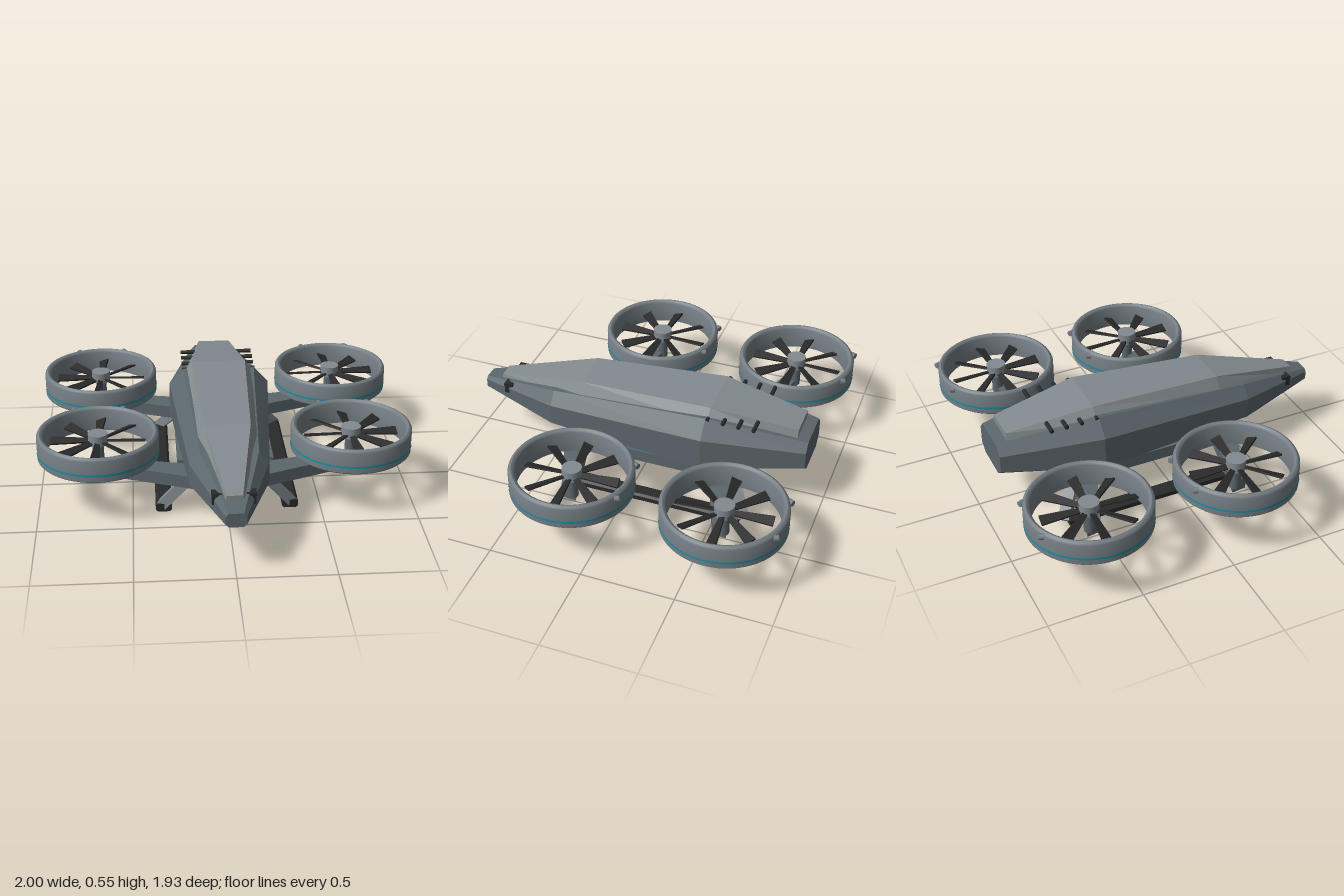
import * as THREE from 'three';
import { toCreasedNormals } from 'three/addons/utils/BufferGeometryUtils.js';

const mat = (name, color) => {
  const m = new THREE.MeshStandardMaterial({ color });
  m.name = name;
  return m;
};

export function createModel() {
  const model = new THREE.Group();
  model.name = 'quadRotorDrone';
  const hull = mat('slate hull', 0x5b676c);
  const panel = mat('light panel', 0x838b90);
  const ringGrey = mat('ring grey', 0x737d83);
  const dark = mat('black trim', 0x2a2a2b);
  const teal = mat('teal', 0x1b8fa6);

  const add = (name, geo, material, parent = model, x = 0, y = 0, z = 0) => {
    const m = new THREE.Mesh(geo, material);
    m.name = name;
    m.position.set(x, y, z);
    parent.add(m);
    return m;
  };

  // faceted solid through cross-sections ordered along +z, each counter-clockwise
  const loft = (sections) => {
    const n = sections[0].length, pos = [], idx = [];
    sections.forEach((s) => s.forEach((p) => pos.push(...p)));
    for (let i = 0; i < sections.length - 1; i++) {
      for (let j = 0; j < n; j++) {
        const a = i * n + j, b = i * n + (j + 1) % n;
        idx.push(a, b, b + n, a, b + n, a + n);
      }
    }
    const last = (sections.length - 1) * n;
    for (let j = 1; j < n - 1; j++) idx.push(0, j + 1, j, last, last + j, last + j + 1);
    const g = new THREE.BufferGeometry();
    g.setAttribute('position', new THREE.Float32BufferAttribute(pos, 3));
    g.setIndex(idx);
    const flat = g.toNonIndexed();
    flat.computeVertexNormals();
    return flat;
  };

  // mirrored section from its right half, listed bottom to top as [x, y]
  const section = (z, half) => [
    ...half.map(([x, y]) => [x, y, z]),
    ...half.slice().reverse().map(([x, y]) => [-x, y, z]),
  ];

  // square bar between two points
  const beam = (name, a, b, w, d, material) => {
    const p = new THREE.Vector3(...a), q = new THREE.Vector3(...b);
    const m = add(name, new THREE.BoxGeometry(w, d, p.distanceTo(q)), material);
    m.position.copy(p).add(q).multiplyScalar(0.5);
    m.lookAt(q);
    return m;
  };

  // fuselage
  add('fuselage', loft([
    section(-0.91, [[0.1, 0.25], [0.15, 0.29], [0.15, 0.385], [0.11, 0.43]]),
    section(-0.38, [[0.2, 0.18], [0.28, 0.24], [0.28, 0.42], [0.2, 0.508]]),
    section(0.5, [[0.14, 0.195], [0.205, 0.25], [0.205, 0.365], [0.15, 0.43]]),
    section(0.96, [[0.035, 0.265], [0.052, 0.28], [0.052, 0.325], [0.038, 0.34]]),
  ]), hull);

  // raised upper shell
  add('upperShell', loft([
    section(-0.85, [[0.11, 0.41], [0.09, 0.48]]),
    section(-0.39, [[0.2, 0.48], [0.15, 0.547]]),
    section(0.345, [[0.165, 0.42], [0.12, 0.507]]),
    section(0.86, [[0.05, 0.34], [0.04, 0.382]]),
  ]), panel);

  // belly camera
  const cam = new THREE.Group();
  cam.name = 'bellyCamera';
  cam.position.set(0, 0, 0.113);
  model.add(cam);
  const housing = [[0.001, 0.2], [0.085, 0.2], [0.085, 0.128], [0.09, 0.122], [0.117, 0.122], [0.126, 0.131], [0.126, 0.2]];
  housing[0] = [0.085, 0.2];
  housing.splice(1, 1);
  add('cameraHousing', toCreasedNormals(new THREE.LatheGeometry(
    housing.map(([r, y]) => new THREE.Vector2(r, y)), 40), 0.6), panel, cam).material.side = THREE.DoubleSide;
  add('cameraLens', new THREE.CylinderGeometry(0.086, 0.086, 0.03, 40), teal, cam, 0, 0.15, 0);

  // rounded duct profile, running up the outside and down the inside
  const duct = [[0.288, 0.27], [0.316, 0.27], [0.323, 0.277], [0.323, 0.392], [0.318, 0.402], [0.306, 0.408],
    [0.294, 0.402], [0.288, 0.392], [0.288, 0.27]].map(([r, y]) => new THREE.Vector2(r, y));
  const ductGeo = toCreasedNormals(new THREE.LatheGeometry(duct, 64), 0.7);

  const rotor = (s, z) => {
    const g = new THREE.Group();
    g.name = 'rotor';
    g.position.set(s * 0.675, 0, z);
    model.add(g);
    add('ductRing', ductGeo, ringGrey, g);
    add('ductStripe', new THREE.CylinderGeometry(0.3255, 0.3255, 0.012, 64, 1, true), teal, g, 0, 0.312, 0);
    add('hub', new THREE.CylinderGeometry(0.052, 0.052, 0.06, 24), panel, g, 0, 0.365, 0);
    add('motorShaft', new THREE.CylinderGeometry(0.03, 0.03, 0.13, 16), hull, g, 0, 0.28, 0);
    // blades widen toward the tip
    for (let i = 0; i < 8; i++) {
      const b = new THREE.BoxGeometry(0.205, 0.01, 0.056);
      const p = b.attributes.position;
      for (let k = 0; k < p.count; k++) if (p.getX(k) < 0) p.setZ(k, p.getZ(k) * 0.5);
      b.rotateX(s * 0.35).translate(0.147, 0, 0);
      add('blade', b, dark, g, 0, 0.352, 0).rotation.y = i * Math.PI / 4 + s * 0.05;
    }
    // small rear studs
    for (const t of [-1, 1]) {
      const stud = add('ductStud', new THREE.CylinderGeometry(0.016, 0.016, 0.025, 12), ringGrey, g,
        t * 0.135, 0.387, -0.298);
      stud.rotation.set(Math.PI / 2, 0, -t * 0.42);
    }
  };

  // flat tapered arm from plan corners [x, z]
  const arm = (s, corners) => {
    const shape = new THREE.Shape(corners.map(([x, z]) => new THREE.Vector2(s * x, -z)));
    const g = new THREE.ExtrudeGeometry(shape, { depth: 0.07, bevelEnabled: false });
    add('rotorArm', g.rotateX(-Math.PI / 2), hull, model, 0, 0.178, 0);
  };

  for (const s of [-1, 1]) {
    rotor(s, -0.64);
    rotor(s, 0.17);
    arm(s, [[0.16, 0.28], [0.16, 0.43], [0.67, 0.235], [0.68, 0.155]]);
    arm(s, [[0.16, -0.55], [0.16, -0.39], [0.67, -0.58], [0.68, -0.655]]);

    // side rail under the hull edge
    add('sideRail', new THREE.BoxGeometry(0.08, 0.065, 0.59), hull, model, s * 0.217, 0.207, -0.085);

    // landing gear
    beam('frontLeg', [s * 0.19, 0.215, 0.35], [s * 0.345, 0.025, 0.3], 0.06, 0.055, panel);
    beam('rearLeg', [s * 0.19, 0.215, -0.52], [s * 0.345, 0.025, -0.65], 0.06, 0.055, panel);
    const skid = [[0.03, 0], [0.043, 0.01], [0.043, 0.035], [0.03, 0.045]];
    add('skid', loft([section(-0.63, skid), section(0.335, skid)]), dark, model, s * 0.337, 0, 0);

    // rear pegs on the shell
    [-0.64, -0.558, -0.475, -0.39].forEach((z, i) => {
      const inner = 0.12 + i * 0.02;
      const peg = add('shellPeg', new THREE.CylinderGeometry(0.011, 0.011, 0.205 - inner, 12), dark, model,
        s * (0.205 + inner) / 2, 0.5, z);
      peg.rotation.z = Math.PI / 2;
    });

    // angled nose sensor
    add('noseSensorTop', new THREE.BoxGeometry(0.05, 0.016, 0.05), dark, model, s * 0.086, 0.362, 0.797);
    add('noseSensorPost', new THREE.BoxGeometry(0.018, 0.055, 0.025), dark, model, s * 0.1, 0.338, 0.808);
  }
  return model;
}
